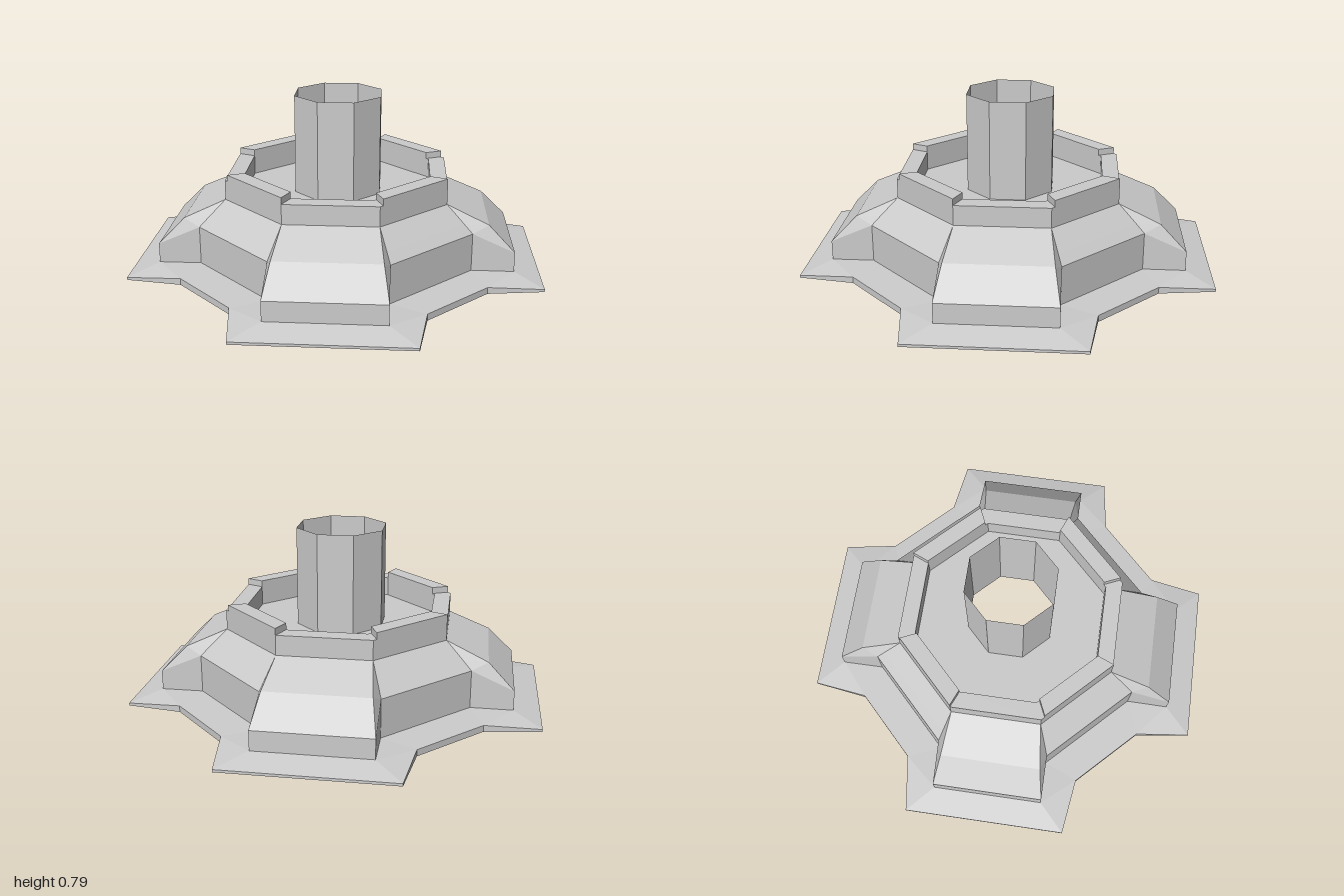
import * as THREE from 'three';

const material = new THREE.MeshStandardMaterial({
  color: 0xcccccc, flatShading: true, side: THREE.DoubleSide,
});
const FLOOR = 0.335;   // height of the upper deck
const DECK = 0.54;     // corner radius of the octagonal deck
const PIPE = 0.21;

// Plan position, angle measured clockwise from the back.
const plan = (r, deg) => {
  const a = THREE.MathUtils.degToRad(deg);
  return new THREE.Vector2(r * Math.sin(a), r * Math.cos(a));
};

// Sixteen-corner ring: each quarter has two lobe corners and two recess corners.
// lobe / recess = [radius, angle inset from the octagon corner, height]
function ring(lobe, recess) {
  const points = [];
  for (let q = 0; q < 4; q++) {
    const corners = [
      [lobe, lobe[1]], [lobe, 45 - lobe[1]],
      [recess, 45 + recess[1]], [recess, 90 - recess[1]],
    ];
    for (const [c, deg] of corners) {
      const p = plan(c[0], q * 90 + deg);
      points.push(new THREE.Vector3(p.x, c[2], -p.y));
    }
  }
  return points;
}

// Skin consecutive rings, leaving out collapsed triangles.
function loft(rings) {
  const pos = [];
  const tri = (a, b, c) => {
    if (new THREE.Triangle(a, b, c).getArea() > 1e-7) {
      for (const p of [a, b, c]) pos.push(p.x, p.y, p.z);
    }
  };
  for (let k = 0; k < rings.length - 1; k++) {
    for (let i = 0; i < 16; i++) {
      const j = (i + 1) % 16;
      const [li, ln, ui, un] = [rings[k][i], rings[k][j], rings[k + 1][i], rings[k + 1][j]];
      if (i % 4 === 3) { // mirrored diagonal keeps both lobe flanks alike
        tri(ln, li, un);
        tri(li, ui, un);
      } else {
        tri(ln, li, ui);
        tri(ln, ui, un);
      }
    }
  }
  const geometry = new THREE.BufferGeometry();
  geometry.setAttribute('position', new THREE.Float32BufferAttribute(pos, 3));
  geometry.computeVertexNormals();
  return geometry;
}

function add(parent, name, geometry) {
  const mesh = new THREE.Mesh(geometry, material);
  mesh.name = name;
  parent.add(mesh);
  return mesh;
}

export function createModel() {
  const model = new THREE.Group();
  model.name = 'lobedBase';

  // Thin skirt around the foot, hollow in the middle
  const footTop = ring([0.845, 4.9, 0.04], [0.665, 0, 0.04]);
  const footBottom = ring([0.845, 4.9, 0], [0.665, 0, 0]);
  add(model, 'skirt', loft([
    footTop,
    footBottom,
    ring([1.0, 0.5, 0], [0.79, 8.7, 0]),
    ring([1.0, 0.5, 0.012], [0.79, 8.7, 0.03]),
    footTop,
  ]));

  // Shell with four lobes, rising to the octagonal deck
  add(model, 'shell', loft([
    footTop,
    ring([0.845, 4.9, 0.13], [0.665, 0, 0.215]),
    ring([0.725, 4, 0.25], [0.624, 0, 0.255]),
    ring([DECK, 0, FLOOR], [DECK, 0, FLOOR]),
  ]));

  // Deck with an octagonal opening
  add(model, 'deck', new THREE.RingGeometry(PIPE, DECK, 8, 1).rotateX(-Math.PI / 2))
    .position.y = FLOOR;

  // Rim: low over the lobes, raised between them
  const rim = new THREE.Group();
  rim.name = 'rim';
  for (let s = 0; s < 8; s++) {
    const raised = s % 2 === 1;
    const [a, b] = [s * 45, s * 45 + 45];
    const segment = (from, to, top) => {
      const outer = [plan(DECK, a), plan(DECK, b)];
      const inner = [plan(0.458, a), plan(0.458, b)];
      const at = (edge, t) => edge[0].clone().lerp(edge[1], t);
      const shape = new THREE.Shape([
        at(outer, from), at(inner, from), at(inner, to), at(outer, to),
      ]);
      const geometry = new THREE.ExtrudeGeometry(shape, { depth: top - FLOOR, bevelEnabled: false });
      add(rim, raised ? 'raisedRim' : 'lowRim', geometry.rotateX(-Math.PI / 2)).position.y = FLOOR;
    };
    if (raised) {
      segment(0, 0.955, 0.455);
      segment(0.955, 1, 0.425);
    } else {
      segment(0, 1, 0.425);
    }
  }
  model.add(rim);

  // Open octagonal pipe
  const height = 0.79 - FLOOR;
  add(model, 'pipe', new THREE.CylinderGeometry(PIPE, PIPE, height, 8, 1, true))
    .position.y = FLOOR + height / 2;

  return model;
}
